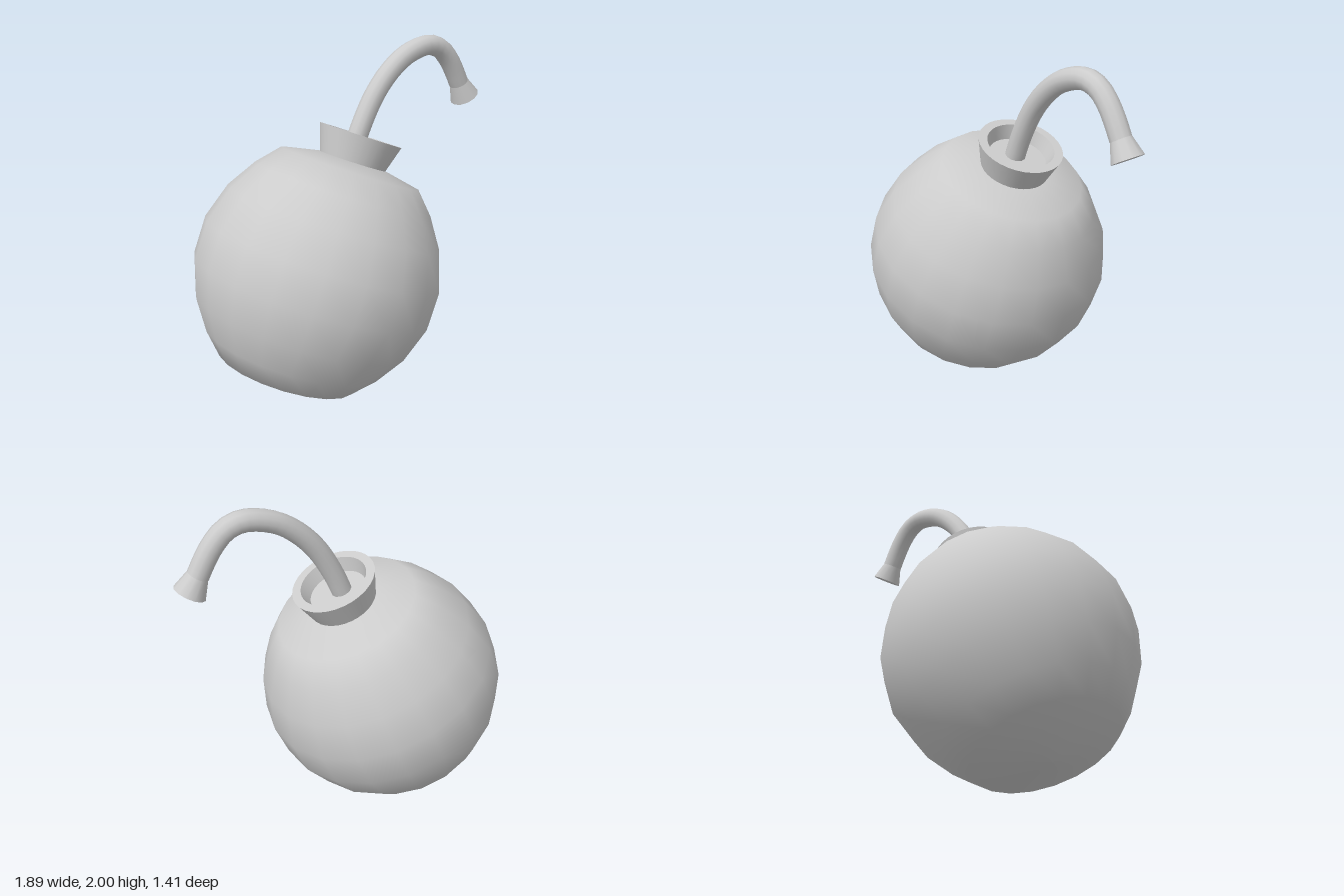
import * as THREE from 'three';
import { toCreasedNormals } from 'three/addons/utils/BufferGeometryUtils.js';

const material = new THREE.MeshStandardMaterial({ color: 0xcccccc });

function addMesh(parent, name, geometry) {
  const mesh = new THREE.Mesh(geometry, material);
  mesh.name = name;
  parent.add(mesh);
  return mesh;
}

// profile: [radius, height] pairs, from bottom to top
function lathe(profile, segments) {
  return new THREE.LatheGeometry(profile.map(([r, h]) => new THREE.Vector2(r, h)), segments);
}

export function createModel() {
  const model = new THREE.Group();
  model.name = 'bomb';

  // Ball and collar share one axis that leans towards +x
  const leaning = new THREE.Group();
  leaning.name = 'leaningBody';
  leaning.position.set(-0.245, 0.725, 0);
  leaning.rotation.z = -THREE.MathUtils.degToRad(22.3);
  model.add(leaning);

  // Round ball, mirrored in height, with shallow cones at both poles
  const upper = [[0.705, 0.11], [0.635, 0.32], [0.525, 0.49], [0.41, 0.615], [0.1, 0.69], [0, 0.70]];
  const lower = upper.map(([r, h]) => [r, -h]).reverse();
  const top = upper.slice(0, 4).concat([[0.19, 0.66], [0, 0.67]]);
  addMesh(leaning, 'ball', lathe([...lower, ...top], 20));

  // Flared collar with a recessed floor
  const collar = lathe([[0.19, 0.64], [0.242, 0.812], [0.192, 0.812], [0.165, 0.73], [0, 0.73]], 32);
  addMesh(leaning, 'collar', toCreasedNormals(collar, 0.5));

  // Curved fuse rising from the collar and hooking over
  const path = new THREE.CatmullRomCurve3([
    [0.01, 1.40], [0.06, 1.52], [0.155, 1.69], [0.265, 1.815], [0.39, 1.9], [0.55, 1.94],
    [0.645, 1.912], [0.715, 1.845], [0.765, 1.77], [0.808, 1.69],
  ].map(([x, y]) => new THREE.Vector3(x, y, 0)));
  addMesh(model, 'fuse', new THREE.TubeGeometry(path, 24, 0.059, 12, false));

  // Flared tip continuing the end of the fuse
  const start = new THREE.Vector3(0.808, 1.692, 0);
  const end = new THREE.Vector3(0.86, 1.6, 0);
  end.y = 1.6;
  const direction = end.clone().sub(start);
  const tip = addMesh(model, 'fuseTip', new THREE.CylinderGeometry(0.089, 0.058, direction.length(), 12));
  tip.position.copy(start).add(end).multiplyScalar(0.5);
  tip.quaternion.setFromUnitVectors(new THREE.Vector3(0, 1, 0), direction.normalize());

  return model;
}
